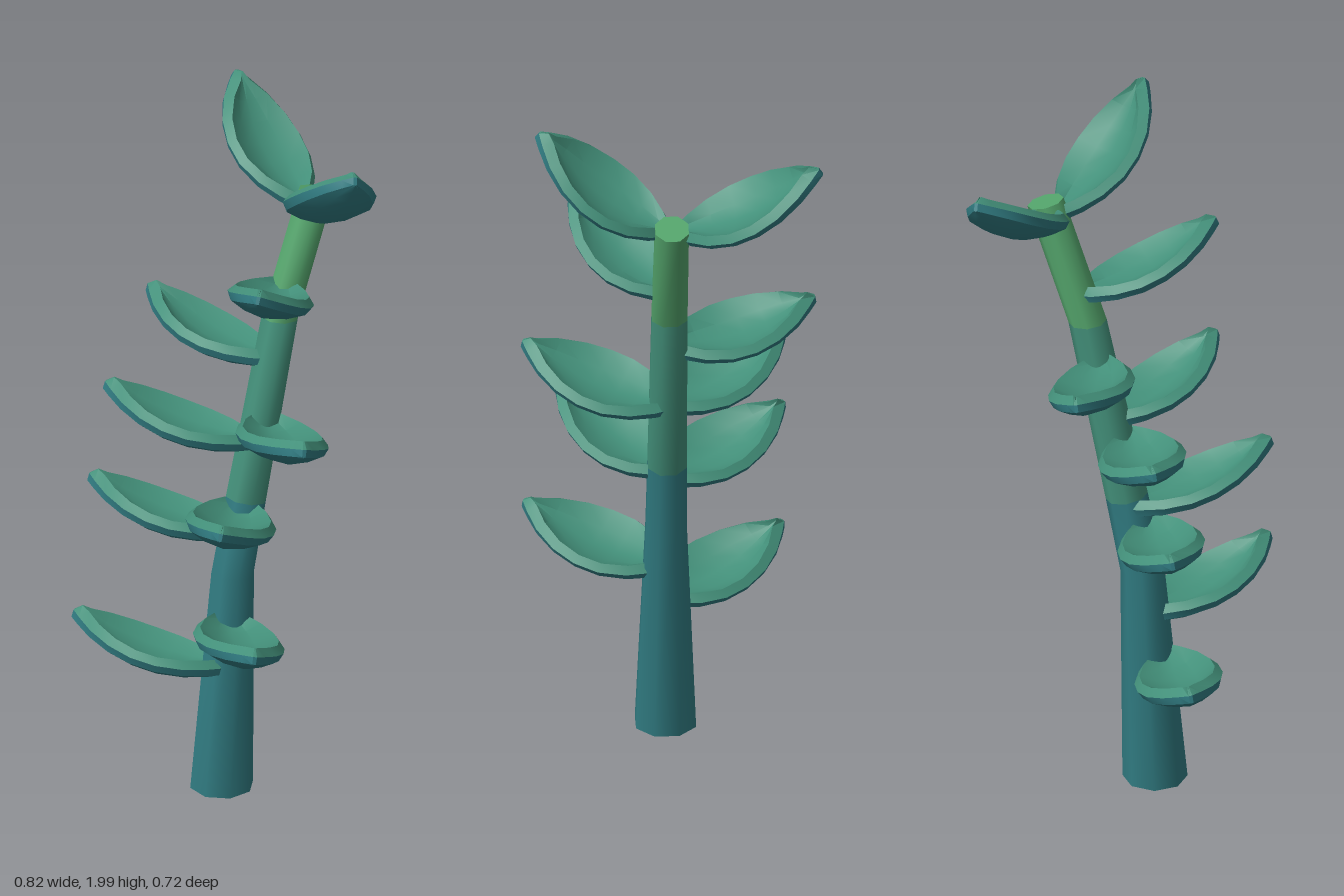
import * as THREE from 'three';
import { toCreasedNormals } from 'three/addons/utils/BufferGeometryUtils.js';

const material = (name, color) => {
  const m = new THREE.MeshStandardMaterial({ color });
  m.name = name;
  return m;
};

// Skin a grid of points (rows of equal length) with triangles
function skin(rows, crease) {
  const n = rows[0].length;
  const index = [];
  for (let r = 0; r < rows.length - 1; r++) {
    for (let c = 0; c < n - 1; c++) {
      const a = r * n + c, b = a + n;
      index.push(a, b, a + 1, b, b + 1, a + 1);
    }
  }
  const geometry = new THREE.BufferGeometry();
  geometry.setAttribute('position', new THREE.Float32BufferAttribute(rows.flat(2), 3));
  geometry.setIndex(index);
  return toCreasedNormals(geometry, crease);
}

// Half width of a leaf along its length, as [position, width] fractions
const OUTLINE = [[0, 0.045], [0.07, 0.12], [0.2, 0.21], [0.36, 0.265], [0.52, 0.27],
  [0.68, 0.235], [0.83, 0.16], [0.94, 0.07], [1, 0.012]];

// Cupped leaf along +z: a bevelled upper face and a rounded underside
function leafGeometries(length) {
  const top = [], bottom = [];
  for (const [t, width] of OUTLINE) {
    const w = width * length;
    const wi = Math.max(w - 0.018, w * 0.35);
    const edge = -0.025 * Math.sin(Math.PI * t);
    const cup = 0.28 * w;
    const z = t * length;
    const zi = 0.012 + t * (length - 0.032);
    top.push([[-w, edge - 0.014, z], [-wi, edge + 0.006, zi], [-wi * 0.5, edge - cup * 0.72, zi],
      [0, edge - cup, zi], [wi * 0.5, edge - cup * 0.72, zi], [wi, edge + 0.006, zi], [w, edge - 0.014, z]]);
    bottom.push([[w, edge - 0.014, z], [w * 0.9, edge - 0.036, z], [w * 0.5, edge - 0.034 - cup * 0.72, z],
      [0, edge - 0.036 - cup, z], [-w * 0.5, edge - 0.034 - cup * 0.72, z], [-w * 0.9, edge - 0.036, z],
      [-w, edge - 0.014, z]]);
  }
  // Close both ends to a point
  for (const rows of [top, bottom]) {
    rows.unshift(rows[0].map(() => [0, -0.014, 0]));
    rows.push(rows[0].map(() => [0, -0.014, length]));
  }
  return [skin(top, 0.45), skin(bottom, 0.6)];
}

function makeLeaf(name, base, tip, upper, under) {
  const from = new THREE.Vector3(...base);
  const axis = new THREE.Vector3(...tip).sub(from);
  const length = axis.length();
  axis.normalize();
  // The leaves lean back with the stem
  const side = new THREE.Vector3(0, 1, -0.2).cross(axis).normalize();
  const normal = axis.clone().cross(side);
  const [topGeometry, underGeometry] = leafGeometries(length);
  const leaf = new THREE.Group();
  leaf.name = name;
  const face = new THREE.Mesh(topGeometry, upper);
  face.name = 'leafTop';
  const belly = new THREE.Mesh(underGeometry, under);
  belly.name = 'leafUnderside';
  leaf.add(face, belly);
  leaf.quaternion.setFromRotationMatrix(new THREE.Matrix4().makeBasis(side, normal, axis));
  leaf.position.copy(from);
  return leaf;
}

// Stem rings: [height, z, radius, backward tilt]
const SIDES = 8;
function ring([y, z, r, tilt]) {
  return Array.from({ length: SIDES + 1 }, (_, i) => {
    const a = ((i + 0.5) / SIDES) * Math.PI * 2;
    const dz = Math.cos(a) * r;
    return [0.008 + Math.sin(a) * r, y + dz * tilt, z + dz];
  });
}
const point = ([y, z]) => Array.from({ length: SIDES + 1 }, () => [0.008, y, z]);

export function createModel() {
  const model = new THREE.Group();
  model.name = 'plant';
  const teal = material('deep teal', 0x307a80);
  const green = material('leaf green', 0x43907a);
  const light = material('young green', 0x54a56c);

  // Stem in three coloured sections, bending backwards
  const foot = [0, 0.095, 0.09, 0];
  const bend = [0.65, 0.057, 0.061, 0.1];
  const middle = [0.87, 0.01, 0.058, 0.2];
  const upper = [1.4, -0.108, 0.053, 0.1];
  const crown = [1.75, -0.235, 0.05, 0.3];
  const sections = [
    ['lowerStem', [point(foot), ring(foot), ring(bend), ring(middle)], teal],
    ['middleStem', [ring(middle), ring(upper)], green],
    ['upperStem', [ring(upper), ring(crown), point(crown)], light],
  ];
  for (const [name, rows, mat] of sections) {
    // Rows climb the stem, so reverse each ring to face outwards
    const mesh = new THREE.Mesh(skin(rows.map((row) => row.slice().reverse()), 0.9), mat);
    mesh.name = name;
    model.add(mesh);
  }

  // Leaves: base and tip
  const leaves = [
    ['rightLeaf1', [0.04, 0.40, 0.11], [-0.33, 0.50, 0.345]],
    ['rightLeaf2', [0.04, 0.81, 0.06], [-0.33, 0.91, 0.29]],
    ['rightLeaf3', [0.04, 1.07, 0.0], [-0.33, 1.18, 0.235]],
    ['rightLeaf4', [0.02, 1.30, -0.07], [-0.40, 1.39, 0.03]],
    ['leftLeaf1', [-0.01, 0.53, 0.06], [0.39, 0.63, 0.27]],
    ['leftLeaf2', [-0.02, 0.86, 0.0], [0.295, 0.99, 0.315]],
    ['leftLeaf3', [-0.01, 1.11, -0.07], [0.40, 1.23, 0.105]],
    ['leftLeaf4', [-0.01, 1.50, -0.14], [0.265, 1.67, 0.16]],
    ['rightCrownLeaf', [0.0, 1.73, -0.2], [-0.39, 1.96, -0.27]],
    ['leftCrownLeaf', [0.01, 1.73, -0.2], [0.36, 2.0, -0.1]],
  ];
  for (const [name, base, tip] of leaves) model.add(makeLeaf(name, base, tip, green, teal));
  return model;
}
